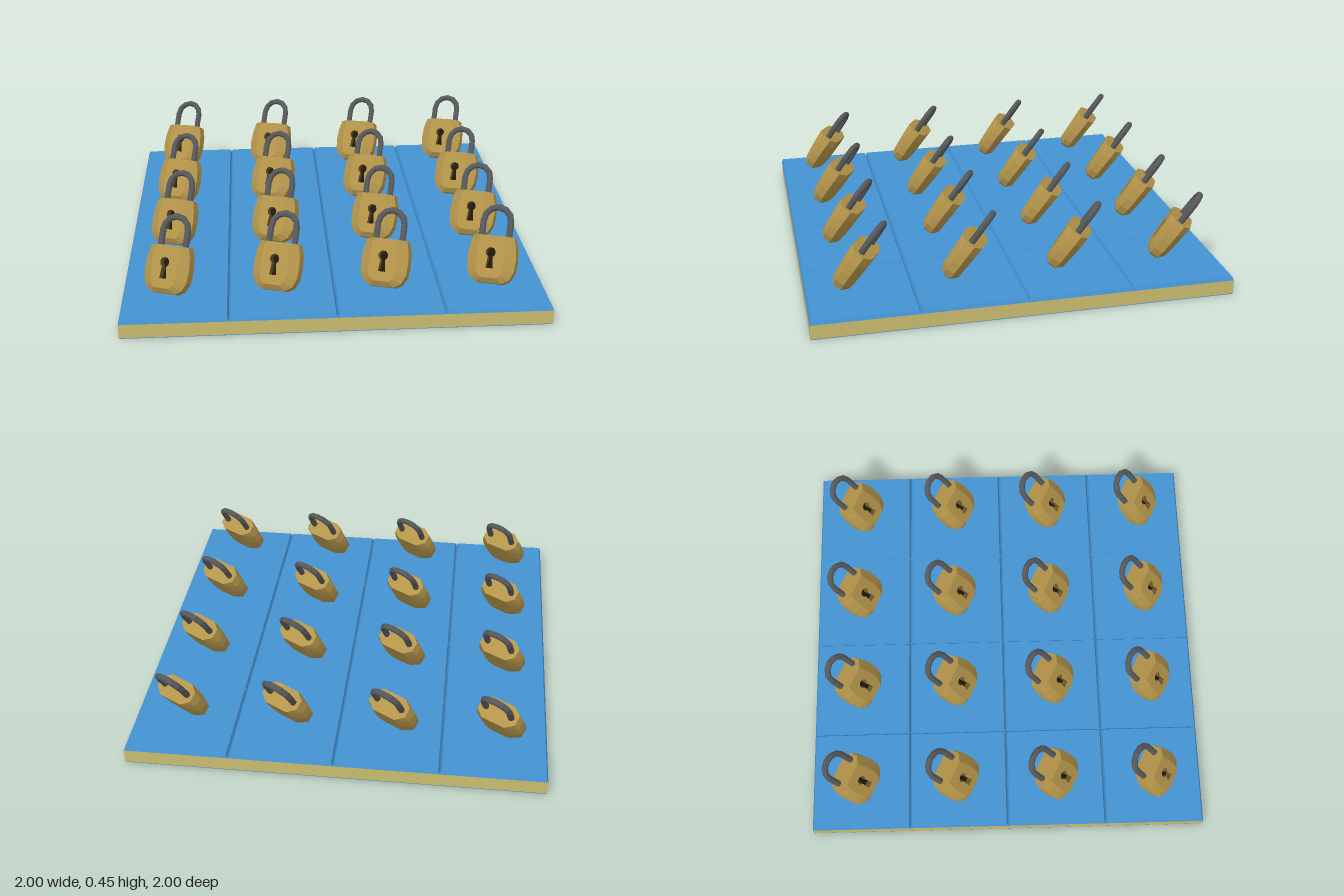
import * as THREE from 'three';

const mat = (color, extra = {}) => new THREE.MeshStandardMaterial({ color, flatShading: true, ...extra });
const blue = mat(0x4492d2), tan = mat(0xcbbd70), brass = mat(0xb3944a);
const steel = mat(0x56575a), dark = mat(0x1c170c);

function add(parent, name, geometry, material, x = 0, y = 0, z = 0) {
  const mesh = new THREE.Mesh(geometry, material);
  mesh.name = name;
  mesh.position.set(x, y, z);
  parent.add(mesh);
  return mesh;
}

// Mirror a right-hand profile (top to bottom) into a closed counter-clockwise outline
function outline(half) {
  const left = half.map(([x, y]) => [-x, y]);
  return [...left, ...half.slice().reverse()].map(([x, y]) => new THREE.Vector2(x, y));
}

// Walls joining successive closed loops of {points, z}, running from front to back
function loft(rings) {
  const pos = [], idx = [], n = rings[0].points.length;
  rings.forEach(({ points, z }) => points.forEach((p) => pos.push(p.x, p.y, z)));
  for (let k = 0; k < rings.length - 1; k++) {
    for (let i = 0; i < n; i++) {
      const a = k * n + i, b = k * n + (i + 1) % n;
      idx.push(a, a + n, b, b, a + n, b + n);
    }
  }
  const g = new THREE.BufferGeometry();
  g.setAttribute('position', new THREE.Float32BufferAttribute(pos, 3));
  g.setIndex(idx);
  g.computeVertexNormals();
  return g;
}

// The case gets thinner towards its bottom
function taper(g) {
  const p = g.attributes.position;
  for (let i = 0; i < p.count; i++) p.setZ(i, p.getZ(i) * (0.95 + 0.9 * p.getY(i)));
  g.computeVertexNormals();
  return g;
}

const wide = outline([[0.098, 0.11], [0.112, 0.06], [0.117, 0], [0.112, -0.055], [0.093, -0.093], [0.06, -0.112]]);
const face = outline([[0.058, 0.11], [0.066, 0.06], [0.069, 0], [0.066, -0.045], [0.057, -0.075], [0.038, -0.09]]);

// Round hole with a flared slot below it
function keyhole() {
  const pts = [];
  for (let i = 0; i <= 8; i++) {
    const a = -Math.PI / 2 + 0.5 + (i / 8) * (Math.PI * 2 - 1);
    pts.push(new THREE.Vector2(0.024 * Math.cos(a), 0.03 + 0.024 * Math.sin(a)));
  }
  pts.push(new THREE.Vector2(-0.018, -0.045), new THREE.Vector2(0.018, -0.045));
  return pts;
}

class ShacklePath extends THREE.Curve {
  // Straight legs joined by a half circle
  getPoint(t, target = new THREE.Vector3()) {
    const r = 0.066, base = 0.09, bend = 0.187;
    if (t < 0.2) return target.set(-r, base + (bend - base) * (t / 0.2), 0);
    if (t > 0.8) return target.set(r, base + (bend - base) * ((1 - t) / 0.2), 0);
    const a = Math.PI * (1 - (t - 0.2) / 0.6);
    return target.set(r * Math.cos(a), bend + r * Math.sin(a), 0);
  }
  getPointAt(t, target) { return this.getPoint(t, target); }
}

function lockParts() {
  const d = 0.054, hole = keyhole();
  const front = new THREE.Shape(face);
  front.holes.push(new THREE.Path(hole));
  const frontGeo = new THREE.ShapeGeometry(front).translate(0, 0, d);
  const backGeo = new THREE.ShapeGeometry(new THREE.Shape(face)).rotateY(Math.PI).translate(0, 0, -d);
  const sides = loft([
    { points: face, z: d }, { points: wide, z: 0.024 },
    { points: wide, z: -0.024 }, { points: face, z: -d },
  ]);
  const walls = loft([{ points: hole, z: d }, { points: hole, z: 0.02 }]);
  const floor = new THREE.ShapeGeometry(new THREE.Shape(hole)).translate(0, 0, 0.02);
  return [
    ['lockCase', taper(sides), brass],
    ['lockFront', taper(frontGeo), brass],
    ['lockBack', taper(backGeo), brass],
    ['keyholeWalls', taper(walls), mat(0x6b5628, { side: THREE.DoubleSide })],
    ['keyholeFloor', taper(floor), dark],
    ['shackle', new THREE.TubeGeometry(new ShacklePath(), 10, 0.0155, 8), steel],
  ];
}

export function createModel() {
  const model = new THREE.Group();
  model.name = 'lockBoard';

  // Board with a blue underside
  add(model, 'underside', new THREE.BoxGeometry(2, 0.003, 2), blue, 0, 0.0015, 0);
  add(model, 'board', new THREE.BoxGeometry(2, 0.069, 2), tan, 0, 0.0375, 0);

  // Leaning pose shared by all locks
  const up = new THREE.Vector3(0.176, 0.837, -0.519).normalize();
  const across = new THREE.Vector3(0.891, 0.089, 0.445);
  const out = across.clone().cross(up).normalize();
  across.crossVectors(up, out);
  const pose = new THREE.Matrix4().makeBasis(across, up, out);

  const tile = new THREE.CylinderGeometry(0.242 * Math.SQRT2, 0.25 * Math.SQRT2, 0.018, 4).rotateY(Math.PI / 4);
  const parts = lockParts();

  for (let row = 0; row < 4; row++) {
    for (let col = 0; col < 4; col++) {
      const i = col - 1.5, j = row - 1.5;
      add(model, 'tile', tile, blue, i * 0.5, 0.081, j * 0.5);

      const lock = new THREE.Group();
      lock.name = 'padlock';
      parts.forEach(([name, geometry, material]) => add(lock, name, geometry, material));
      lock.quaternion.setFromRotationMatrix(pose);
      lock.position.set(-0.012 + i * 0.507, 0.222, 0.007 + j * 0.507);
      model.add(lock);
    }
  }
  return model;
}
